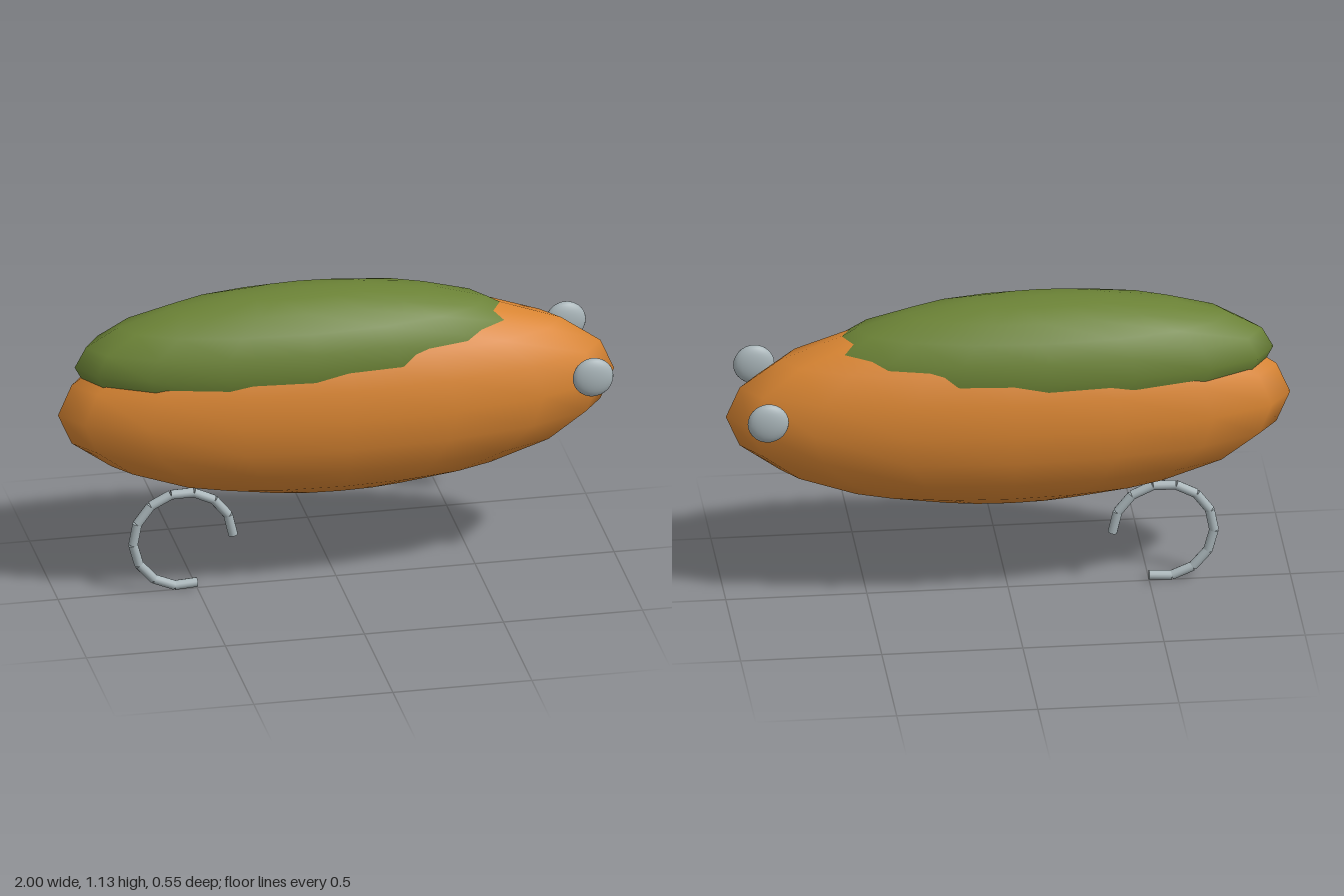
import * as THREE from 'three';

const orange = new THREE.MeshStandardMaterial({ color: 0xd98532 });
const green = new THREE.MeshStandardMaterial({ color: 0x6b8236 });
const metal = new THREE.MeshStandardMaterial({ color: 0xa8b4b8 });

// A sphere stretched to the given half-sizes
function ellipsoid(name, material, position, halfSize, sides = 16, rings = 10) {
  const mesh = new THREE.Mesh(new THREE.SphereGeometry(1, sides, rings), material);
  mesh.name = name;
  mesh.position.set(...position);
  mesh.scale.set(...halfSize);
  return mesh;
}

// A straight rod between two points
function rod(name, a, b, radius) {
  const mesh = new THREE.Mesh(new THREE.CylinderGeometry(radius, radius, a.distanceTo(b), 12), metal);
  mesh.name = name;
  mesh.position.copy(a).lerp(b, 0.5);
  mesh.quaternion.setFromUnitVectors(new THREE.Vector3(0, 1, 0), b.clone().sub(a).normalize());
  return mesh;
}

export function createModel() {
  const model = new THREE.Group();
  model.name = 'fishingLure';

  // Body and the raised back
  model.add(ellipsoid('body', orange, [0, 0.72, 0], [1, 0.365, 0.272]));
  model.add(ellipsoid('back', green, [-0.12, 0.9, 0], [0.82, 0.24, 0.242]));

  // Flattened eyes either side of the head
  for (const side of [1, -1]) {
    const name = side > 0 ? 'frontEye' : 'rearEye';
    model.add(ellipsoid(name, metal, [0.875, 0.805, side * 0.243], [0.073, 0.073, 0.03], 20, 14));
  }

  // Open ring hook made of short straight rods
  const hook = new THREE.Group();
  hook.name = 'hook';
  hook.position.set(-0.55, 0.2, 0);
  const segments = 11, arc = 5, radius = 0.18;
  const point = (i) => {
    const a = (i / segments) * arc;
    return new THREE.Vector3(Math.cos(a) * radius, Math.sin(a) * radius, 0);
  };
  for (let i = 0; i < segments; i++) hook.add(rod('hookSegment', point(i), point(i + 1), 0.017));
  model.add(hook);

  return model;
}
